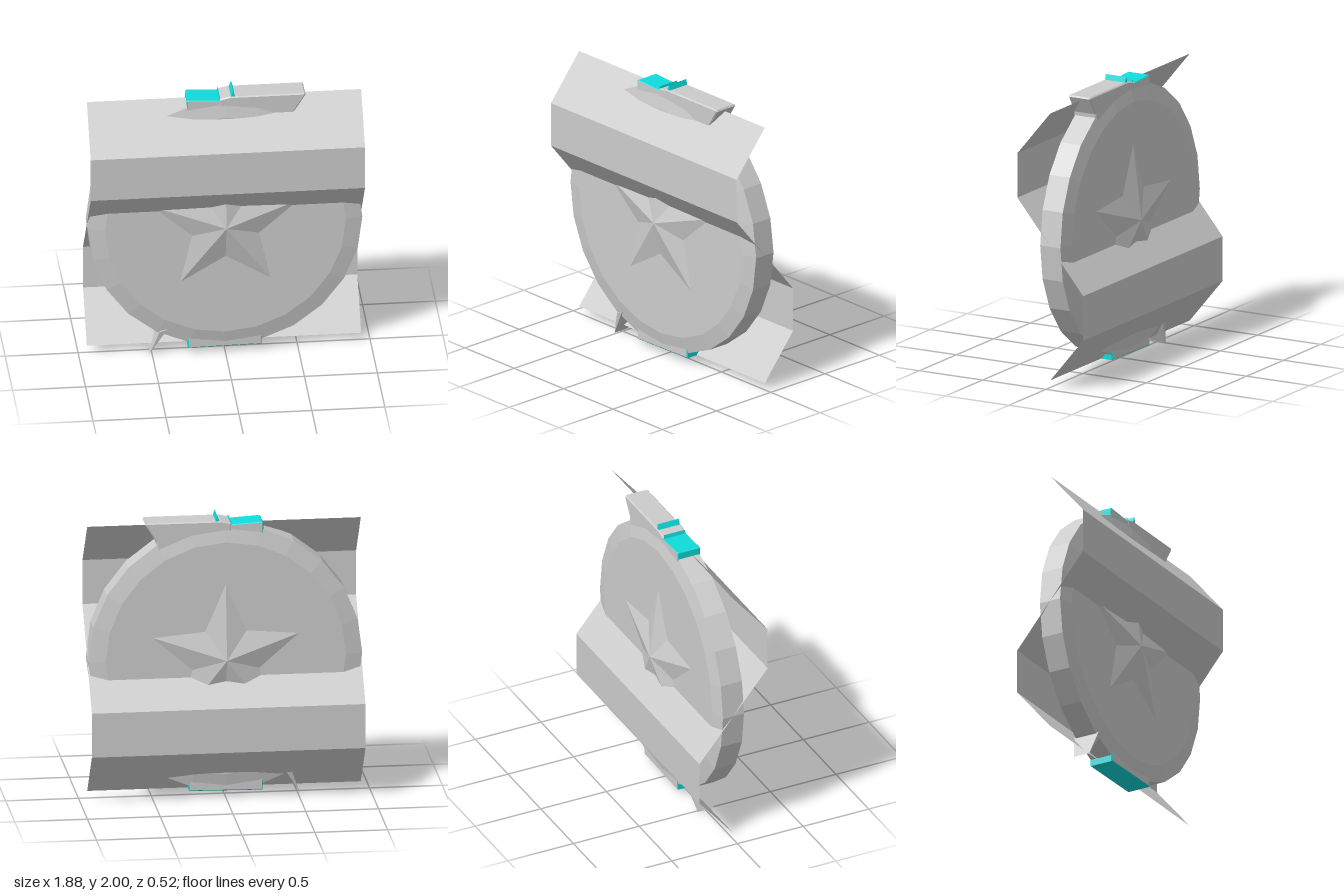
import * as THREE from 'three';

const CY = 0.99; // height of the disc centre

export function createModel() {
  const group = new THREE.Group();
  const grey = new THREE.MeshStandardMaterial({ color: 0xcccccc });
  grey.name = 'plain grey';
  const sheetGrey = grey.clone();
  sheetGrey.name = 'sheet grey';
  sheetGrey.side = THREE.DoubleSide;
  const cyan = new THREE.MeshStandardMaterial({ color: 0x10dcdc });
  cyan.name = 'cyan';

  const add = (name, geometry, material) => {
    const mesh = new THREE.Mesh(geometry, material);
    mesh.name = name;
    group.add(mesh);
    return mesh;
  };
  const faceted = (geometry) => {
    const g = geometry.index ? geometry.toNonIndexed() : geometry;
    g.computeVertexNormals();
    return g;
  };
  // Outline in x,y extruded symmetrically about z = 0
  const plate = (points, half, bevel = 0) => {
    const shape = new THREE.Shape(points.map(([x, y]) => new THREE.Vector2(x, y)));
    const depth = 2 * (half - bevel);
    const g = new THREE.ExtrudeGeometry(shape, {
      depth, bevelEnabled: bevel > 0, bevelThickness: bevel,
      bevelSize: bevel, bevelOffset: -bevel, bevelSegments: 1,
    });
    return g.translate(0, 0, -depth / 2);
  };

  // Thick disc with chamfered rim
  const profile = [[0, -0.105], [0.825, -0.105], [0.94, -0.08], [0.94, 0.08], [0.825, 0.105], [0, 0.105]]
    .map(([r, y]) => new THREE.Vector2(r, y));
  const disc = faceted(new THREE.LatheGeometry(profile, 24));
  disc.rotateX(Math.PI / 2).translate(0, CY, 0);
  add('disc', disc, grey);

  // Raised five-pointed star on each face
  const rim = (i) => {
    const a = Math.PI / 2 + (i * Math.PI) / 5;
    const r = i % 2 ? 0.245 : 0.535;
    return [Math.cos(a) * r, Math.sin(a) * r, 0.104];
  };
  const corners = [];
  for (let i = 0; i < 10; i++) corners.push(0, 0, 0.17, ...rim(i), ...rim(i + 1));
  const star = new THREE.BufferGeometry();
  star.setAttribute('position', new THREE.Float32BufferAttribute(corners, 3));
  star.computeVertexNormals();
  add('frontStar', star, grey).position.y = CY;
  const back = add('backStar', star, grey);
  back.position.y = CY;
  back.rotation.y = Math.PI;

  // Wavy sheet passing through the disc: one sine wave in six steps
  const wave = new THREE.PlaneGeometry(1.88, 1.88, 1, 6);
  const p = wave.attributes.position;
  for (let i = 0; i < p.count; i++) {
    p.setZ(i, 0.3 * Math.sin((p.getY(i) / 0.94) * Math.PI));
  }
  wave.translate(0, CY, 0);
  add('wavySheet', faceted(wave), sheetGrey);

  // Rim blocks: grey faces with cyan edges
  add('bottomBlock', plate([[-0.255, 0.04], [0.25, 0.048], [0.25, 0.2], [-0.255, 0.2]], 0.087, 0.006), [grey, cyan]);
  add('topBlock', plate([[-0.26, 1.78], [-0.03, 1.78], [-0.03, 1.935], [-0.25, 1.947], [-0.26, 1.94]], 0.085, 0.005), [grey, cyan]);

  // Swept blade on the upper rim
  add('blade', plate([
    [-0.04, 1.78], [0.46, 1.73], [0.475, 1.83], [0.55, 1.95], [0.543, 1.962], [0.03, 1.962], [-0.04, 1.945],
  ], 0.087, 0.008), grey);

  // Cyan ridge and step standing on the blade
  add('ridge', plate([[0.035, 1.95], [0.07, 1.95], [0.056, 2.0]], 0.08), cyan);
  add('step', plate([[-0.046, 1.92], [-0.03, 1.92], [-0.036, 1.962]], 0.08), cyan);

  // Pointed spike on the lower rim, narrowing towards its tip
  const spike = plate([[-0.515, 0], [-0.40, 0.195], [-0.45, 0.18]], 1);
  const s = spike.attributes.position;
  for (let i = 0; i < s.count; i++) {
    s.setZ(i, s.getZ(i) * (0.06 + 0.2 * s.getY(i)));
  }
  add('spike', faceted(spike), grey);

  return group;
}
